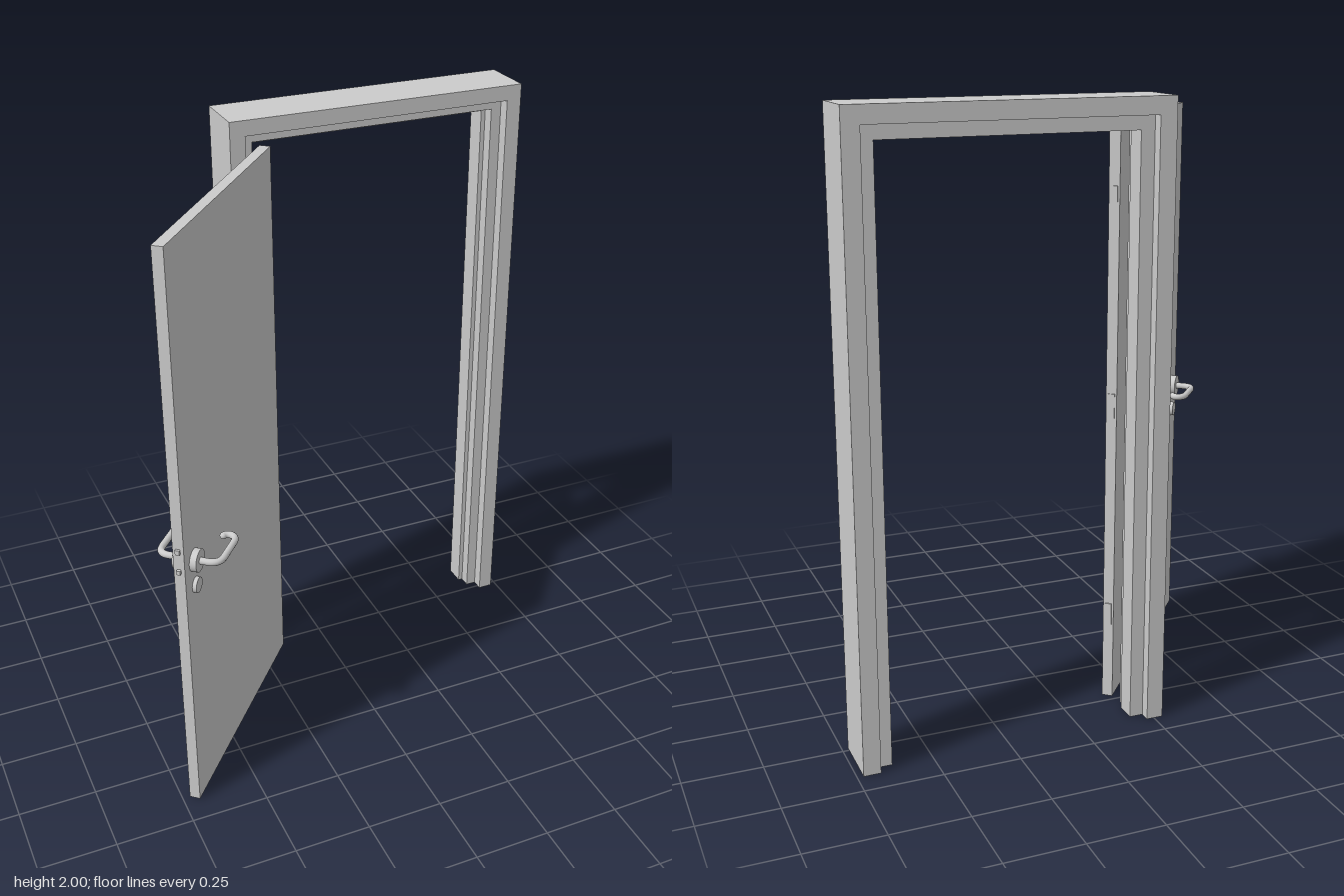
import * as THREE from 'three';

const material = new THREE.MeshStandardMaterial({ color: 0xcccccc });

function add(parent, name, geometry, x = 0, y = 0, z = 0) {
  const mesh = new THREE.Mesh(geometry, material);
  mesh.name = name;
  mesh.position.set(x, y, z);
  parent.add(mesh);
  return mesh;
}

// Stepped jamb section swept with mitred corners up, across and down
function frameGeometry() {
  const left = -0.28, right = 0.73, top = 2;
  // [distance in from the outer edge, z]
  const profile = [
    [0, -0.42], [0.055, -0.42], [0.055, -0.385], [0.1, -0.385], [0.1, -0.315],
    [0.085, -0.315], [0.085, -0.275], [0.05, -0.275], [0.05, -0.235], [0, -0.235],
  ];
  const n = profile.length;
  const point = (k, j) => {
    const [o, z] = profile[j % n];
    return [k < 2 ? left + o : right - o, k === 1 || k === 2 ? top - o : 0, z];
  };
  const positions = [];
  const tri = (a, b, c) => positions.push(...a, ...b, ...c);
  for (let k = 0; k < 3; k++) {
    for (let j = 0; j < n; j++) {
      const a = point(k, j), b = point(k + 1, j), c = point(k + 1, j + 1), d = point(k, j + 1);
      tri(a, b, c);
      tri(a, c, d);
    }
  }
  // feet of the two jambs
  const contour = profile.map(([o, z]) => new THREE.Vector2(o, z));
  for (const [a, b, c] of THREE.ShapeUtils.triangulateShape(contour, [])) {
    tri(point(0, a), point(0, b), point(0, c));
    tri(point(3, a), point(3, c), point(3, b));
  }
  const geometry = new THREE.BufferGeometry();
  geometry.setAttribute('position', new THREE.Float32BufferAttribute(positions, 3));
  geometry.computeVertexNormals();
  return geometry;
}

// Disc whose axis points out of the door leaf
const disc = (radius, depth) =>
  new THREE.CylinderGeometry(radius, radius, depth, 32).rotateX(Math.PI / 2);

// Lever, rosette and lock cover for one face (side = 1 front, -1 back)
function handleSet(side) {
  const group = new THREE.Group();
  group.name = side > 0 ? 'frontHandle' : 'backHandle';
  const x = -0.348, y = 0.895, r = 0.011;
  add(group, 'rosette', disc(0.036, 0.022), x, y, side * 0.0275);
  add(group, 'lockCover', disc(0.025, 0.014), x, 0.805, side * 0.0235);

  const p = (px, pz) => new THREE.Vector3(px, y, side * pz);
  const path = new THREE.CurvePath();
  path.add(new THREE.LineCurve3(p(x, 0.03), p(x, 0.062)));
  path.add(new THREE.QuadraticBezierCurve3(p(x, 0.062), p(x, 0.099), p(-0.308, 0.099)));
  path.add(new THREE.LineCurve3(p(-0.308, 0.099), p(-0.228, 0.099)));
  path.add(new THREE.CubicBezierCurve3(p(-0.228, 0.099), p(-0.19, 0.099), p(-0.185, 0.064), p(-0.205, 0.056)));
  add(group, 'lever', new THREE.TubeGeometry(path, 48, r, 14));
  const end = p(-0.205, 0.056);
  add(group, 'leverTip', new THREE.SphereGeometry(r, 14, 10), end.x, end.y, end.z);
  return group;
}

export function createModel() {
  const model = new THREE.Group();
  model.name = 'openDoor';
  add(model, 'doorFrame', frameGeometry());

  // Door leaf swung open; local -x is the lock edge, local +x the hinge edge
  const door = new THREE.Group();
  door.name = 'door';
  door.position.set(-0.442, 0, 0.0915);
  door.rotation.y = Math.atan2(0.76, 0.65);
  model.add(door);

  const width = 0.835, height = 1.912, thickness = 0.035;
  add(door, 'doorLeaf', new THREE.BoxGeometry(width, height, thickness), 0, 0.004 + height / 2, 0);
  for (const side of [1, -1]) door.add(handleSet(side));

  // Latch and bolt on the lock edge
  add(door, 'latch', new THREE.BoxGeometry(0.02, 0.014, 0.012), -width / 2, 0.895, 0);
  add(door, 'bolt', new THREE.BoxGeometry(0.016, 0.016, 0.014), -width / 2, 0.965, 0);

  // Hinge plates on the hinge edge
  for (const y of [0.3, 1.02, 1.68])
    add(door, 'hinge', new THREE.BoxGeometry(0.008, 0.08, 0.022), width / 2, y, 0);

  return model;
}
